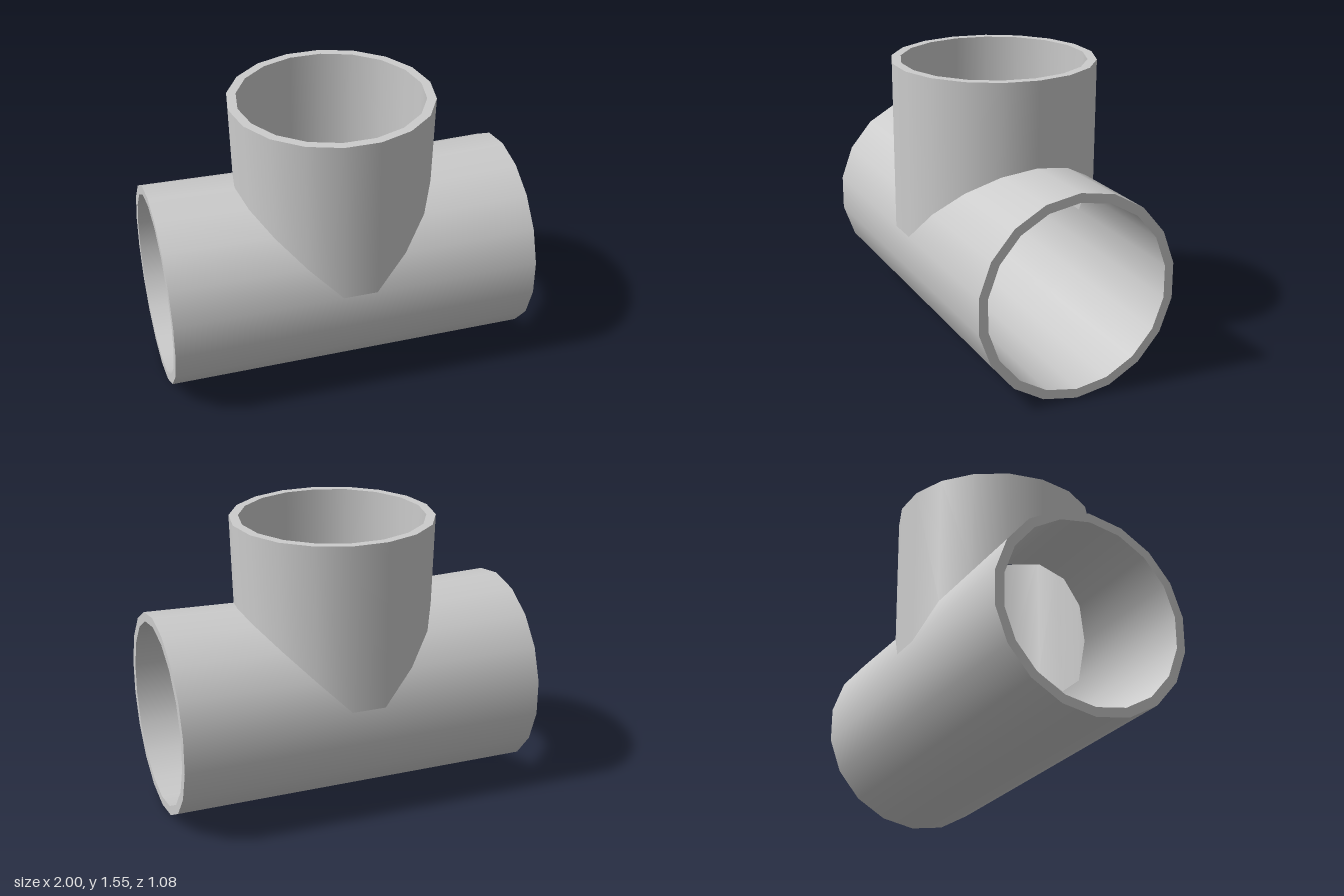
import * as THREE from 'three';

const SIDES = 18, STEP = (Math.PI * 2) / SIDES;
const AXIS_Y = 0.55, TOP_Y = 1.55, OUTER = 0.55, INNER = 0.5;

// Strip of quads between two point rows; faces are wound to agree with the given normals.
function strip(rowA, rowB, normals) {
  const pos = [], nor = [], idx = [];
  rowA.forEach((a, i) => {
    pos.push(...a.toArray(), ...rowB[i].toArray());
    nor.push(...normals[i].toArray(), ...normals[i].toArray());
  });
  const edge1 = rowB[0].clone().sub(rowA[0]);
  const edge2 = rowA[1].clone().sub(rowA[0]);
  const forward = edge1.cross(edge2).dot(normals[0]) > 0;
  for (let i = 0; i < rowA.length - 1; i++) {
    const a = i * 2, b = a + 1, c = a + 2, d = a + 3;
    idx.push(...(forward ? [a, b, c, b, d, c] : [a, c, b, b, c, d]));
  }
  const g = new THREE.BufferGeometry();
  g.setAttribute('position', new THREE.Float32BufferAttribute(pos, 3));
  g.setAttribute('normal', new THREE.Float32BufferAttribute(nor, 3));
  g.setIndex(idx);
  return g;
}

export function createModel() {
  const model = new THREE.Group();
  const material = new THREE.MeshStandardMaterial({ color: 0xcccccc });
  const add = (name, geometry) => {
    const mesh = new THREE.Mesh(geometry, material);
    mesh.name = name;
    model.add(mesh);
  };
  const V = (x, y, z) => new THREE.Vector3(x, y, z);

  // One skin of the tee: facing +1 outward, -1 inward; pinch narrows it at the mitred joint.
  function skin(label, r, pinch, facing) {
    const seam = r * pinch * Math.sin(STEP / 2); // lowest point of the joint
    const angles = Array.from({ length: SIDES + 1 }, (_, i) => STEP / 2 + i * STEP);
    const runNormal = (a) => V(0, Math.sin(a), Math.cos(a)).multiplyScalar(facing);

    // Two arms of the horizontal run, each cut back to the joint over its upper half
    for (const side of [1, -1]) {
      const ends = [], joint = [];
      for (const a of angles) {
        const h = r * Math.sin(a), upper = h > 0;
        const y = AXIS_Y + h * (upper ? pinch : 1);
        ends.push(V(side, AXIS_Y + h, r * Math.cos(a)));
        joint.push(V(side * (upper ? h * pinch : seam), y, r * Math.cos(a)));
      }
      add(`${label}${side > 0 ? 'Left' : 'Right'}Arm`, strip(ends, joint, angles.map(runNormal)));
    }

    // Belly strip joining the arms underneath the branch
    const lower = Array.from({ length: SIDES / 2 + 2 }, (_, i) => STEP / 2 - i * STEP);
    const belly = (x) => lower.map((a) => {
      const h = r * Math.sin(a);
      return V(x, AXIS_Y + h * (h > 0 ? pinch : 1), r * Math.cos(a));
    });
    add(`${label}Belly`, strip(belly(-seam), belly(seam), lower.map(runNormal)));

    // Vertical branch down to the joint
    const turns = angles.map((_, i) => i * STEP);
    const rim = turns.map((t) => V(r * Math.cos(t), TOP_Y, r * Math.sin(t)));
    const foot = turns.map((t) => {
      const x = r * pinch * Math.cos(t);
      return V(x, AXIS_Y + Math.abs(x), r * Math.sin(t));
    });
    add(`${label}Branch`, strip(rim, foot,
      turns.map((t) => V(Math.cos(t), 0, Math.sin(t)).multiplyScalar(facing))));
  }

  skin('outer', OUTER, 0.973, 1);
  skin('inner', INNER, 1, -1);

  // Flat rims closing the wall at the three openings
  const ring = () => new THREE.RingGeometry(INNER, OUTER, SIDES, 1, Math.PI / 2);
  for (const side of [1, -1]) {
    add(side > 0 ? 'leftRim' : 'rightRim',
      ring().rotateY(side * Math.PI / 2).translate(side, AXIS_Y, 0));
  }
  add('topRim', new THREE.RingGeometry(INNER, OUTER, SIDES).rotateX(-Math.PI / 2).translate(0, TOP_Y, 0));

  return model;
}
